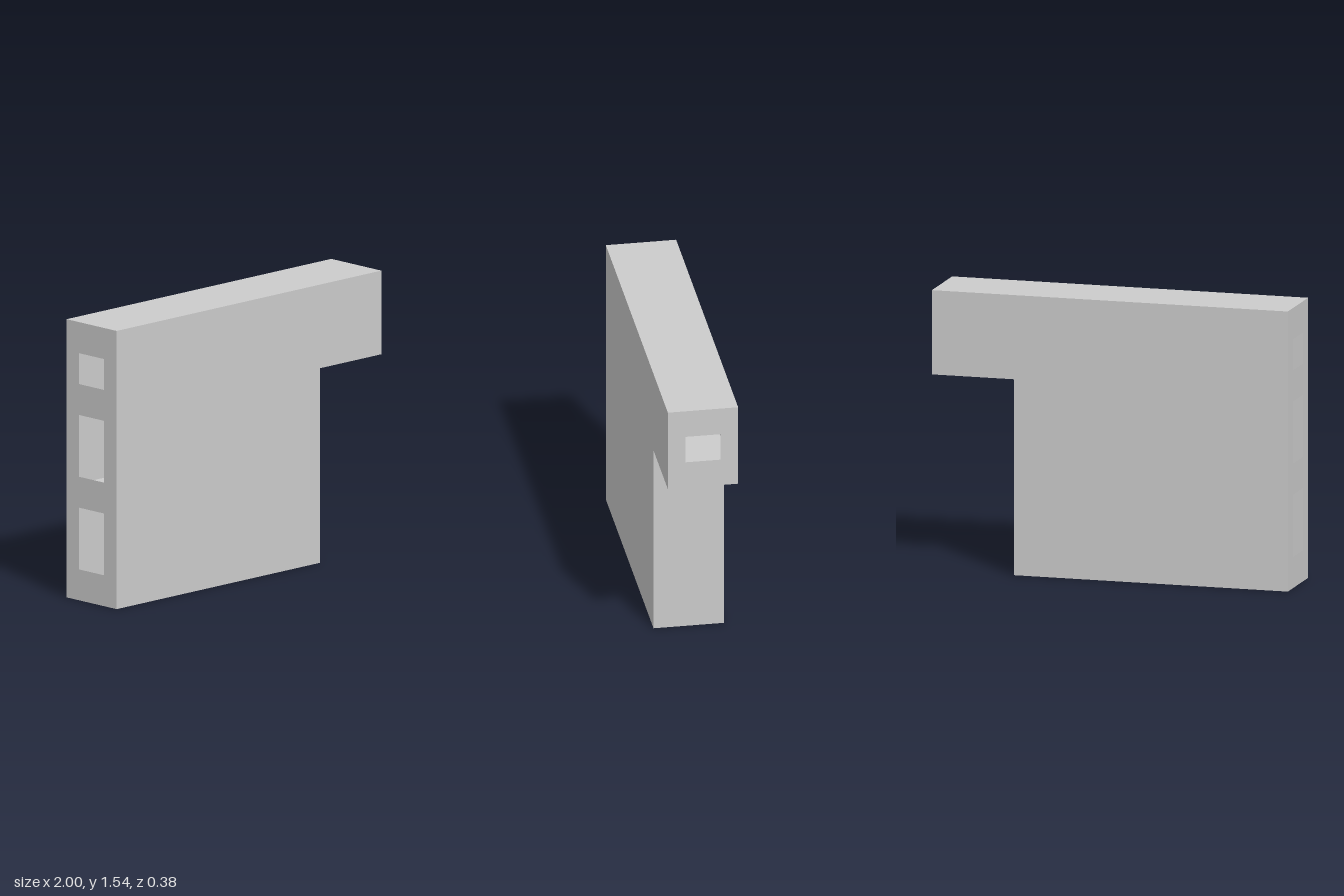
import * as THREE from 'three';

// Main levels of the hollow L-shaped body
const L = -1, R = 1, LEG = 0.538, DUCT = 0.077;
const TOP = 1.54, BEAM = 1.077, SHELF = 0.615, D = 0.192;
const HOLE = 0.096; // half depth of the openings

const material = new THREE.MeshStandardMaterial({ color: 0xcccccc, side: THREE.DoubleSide });

const rect = (a, b, c, d) => [[a, b], [c, b], [c, d], [a, d]];

export function createModel() {
  const group = new THREE.Group();

  // Flat sheet from an outline, with optional openings, turned and moved into place
  function sheet(name, outline, { holes = [], turn = [0, 0, 0], at = [0, 0, 0] } = {}) {
    const toPoints = (list) => list.map(([x, y]) => new THREE.Vector2(x, y));
    const shape = new THREE.Shape(toPoints(outline));
    for (const hole of holes) shape.holes.push(new THREE.Path(toPoints(hole)));
    const mesh = new THREE.Mesh(new THREE.ShapeGeometry(shape), material);
    mesh.name = name;
    mesh.rotation.set(...turn);
    mesh.position.set(...at);
    group.add(mesh);
  }
  const Q = Math.PI / 2;
  const level = (name, x0, x1, y, up, holes) =>
    sheet(name, rect(x0, -D, x1, D), { holes, turn: [up ? -Q : Q, 0, 0], at: [0, y, 0] });
  const upright = (name, y0, y1, x, side, holes) =>
    sheet(name, rect(-D, y0, D, y1), { holes, turn: [0, side * Q, 0], at: [x, 0, 0] });

  // Front and back skins
  const outline = [[L, 0], [LEG, 0], [LEG, BEAM], [R, BEAM], [R, TOP], [L, TOP]];
  sheet('frontPanel', outline, { at: [0, 0, D] });
  sheet('backPanel', outline.map(([x, y]) => [-x, y]), { turn: [0, Math.PI, 0], at: [0, 0, -D] });

  // Roof, underside of the arm, and base with its opening at the back edge
  level('roof', L, R, TOP, true);
  level('armUnderside', LEG, R, BEAM, false);
  sheet('base', [[L, -D], [0.231, -D], [0.231, HOLE], [0.385, HOLE], [0.385, -D], [LEG, -D], [LEG, D], [L, D]],
    { turn: [Q, 0, 0] });

  // Ends with rectangular openings
  const opening = (y0, y1) => rect(-HOLE, y0, HOLE, y1);
  upright('armEnd', BEAM, TOP, R, 1, [opening(1.231, 1.385)]);
  upright('legSide', 0, BEAM, LEG, 1);
  upright('openSide', 0, TOP, L, -1, [opening(0.171, 0.513), opening(0.684, 1.026), opening(1.197, 1.368)]);

  // Inner partitions: top channel floor, shelf between chambers, duct wall
  level('channelFloor', L, LEG, BEAM, true);
  level('chamberShelf', L, DUCT, SHELF, true);
  upright('ductWall', 0, BEAM, DUCT, 1);

  return group;
}
